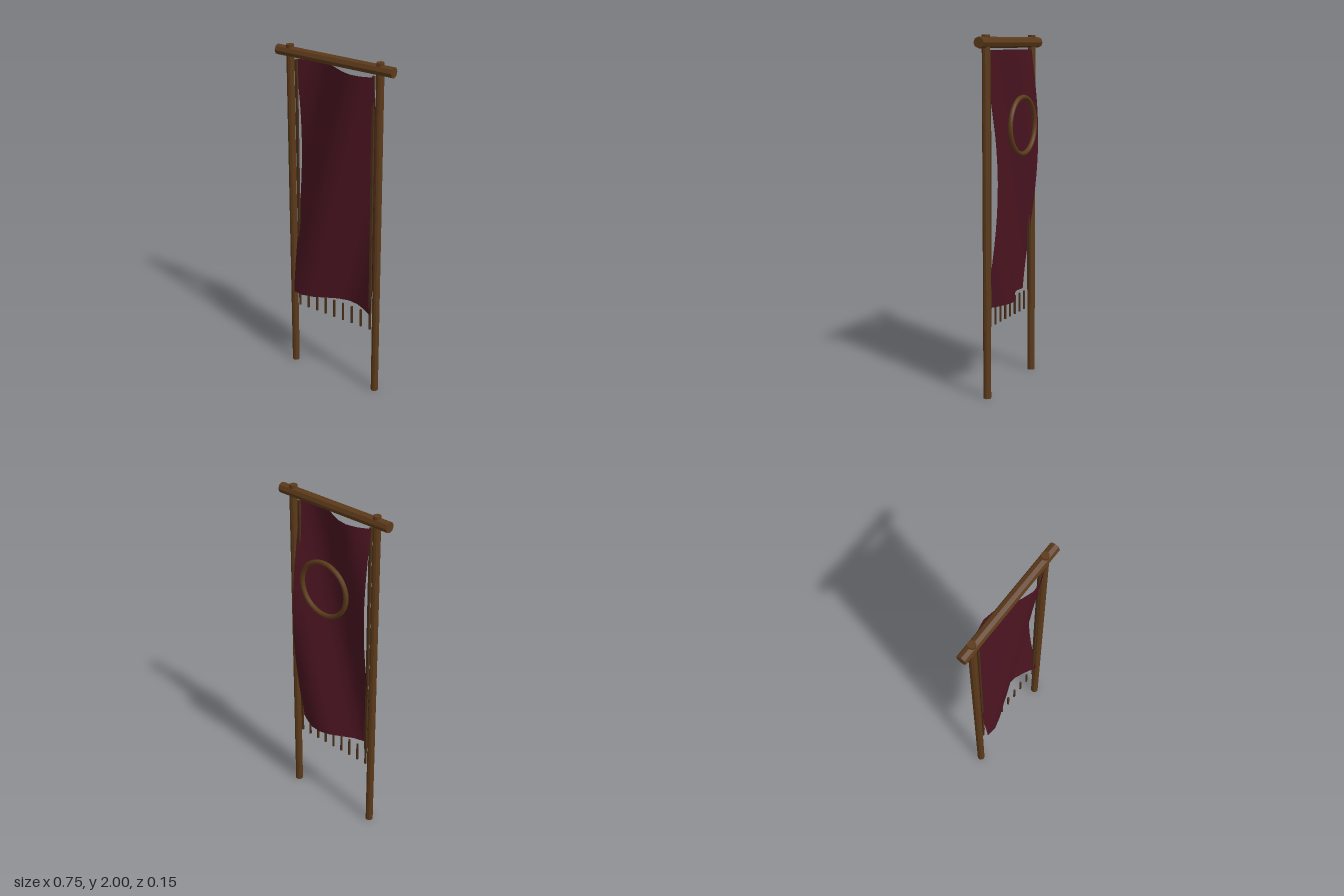
import * as THREE from 'three';

const wood = new THREE.MeshStandardMaterial({ color: 0x5c3a1a, flatShading: true });
const ringWood = new THREE.MeshStandardMaterial({ color: 0x5c3a1a });
const cord = new THREE.MeshStandardMaterial({ color: 0x4a2f18, flatShading: true });
const fabric = new THREE.MeshStandardMaterial({ color: 0x4a1420, side: THREE.DoubleSide });

const AXIS_Z = 0.02; // plane of the frame
const TOP = 1.92, BOTTOM = 0.505, WIDTH = 0.524;

export function createModel() {
  const model = new THREE.Group();
  const add = (name, geometry, material, x, y, z) => {
    const mesh = new THREE.Mesh(geometry, material);
    mesh.name = name;
    mesh.position.set(x, y, z);
    model.add(mesh);
    return mesh;
  };

  // Upright posts and the side cords that edge the cloth
  for (const [side, s] of [['left', 1], ['right', -1]]) {
    add(side + 'Post', new THREE.CylinderGeometry(0.022, 0.022, 2, 10), wood, s * 0.29, 1, AXIS_Z);
    add(side + 'EdgeCord', new THREE.BoxGeometry(0.013, TOP - BOTTOM, 0.013), cord,
      s * 0.25, (TOP + BOTTOM) / 2, AXIS_Z);
  }

  // Crossbar
  const bar = new THREE.CylinderGeometry(0.03, 0.03, 0.746, 8).rotateZ(Math.PI / 2);
  add('crossbar', bar, wood, 0, 1.96, AXIS_Z);

  // Hanging cloth with a diagonal ripple
  const cloth = new THREE.PlaneGeometry(WIDTH, TOP - BOTTOM, 8, 16);
  const p = cloth.attributes.position;
  for (let i = 0; i < p.count; i++) {
    p.setZ(i, 0.053 * Math.cos(10.8 * (p.getX(i) + 0.025) - 2.83 * p.getY(i)));
  }
  cloth.computeVertexNormals();
  add('bannerCloth', cloth, fabric, 0, (TOP + BOTTOM) / 2, 0.0185);

  // Fringe along the bottom
  for (let i = 0; i < 9; i++) {
    add('tassel' + (i + 1), new THREE.CylinderGeometry(0.007, 0.007, 0.11, 6), cord,
      -0.25 + i * 0.0625, 0.455, AXIS_Z);
  }

  // Ring on the back
  add('backRing', new THREE.TorusGeometry(0.158, 0.014, 8, 32), ringWood, 0, 1.503, -0.06);

  return model;
}
